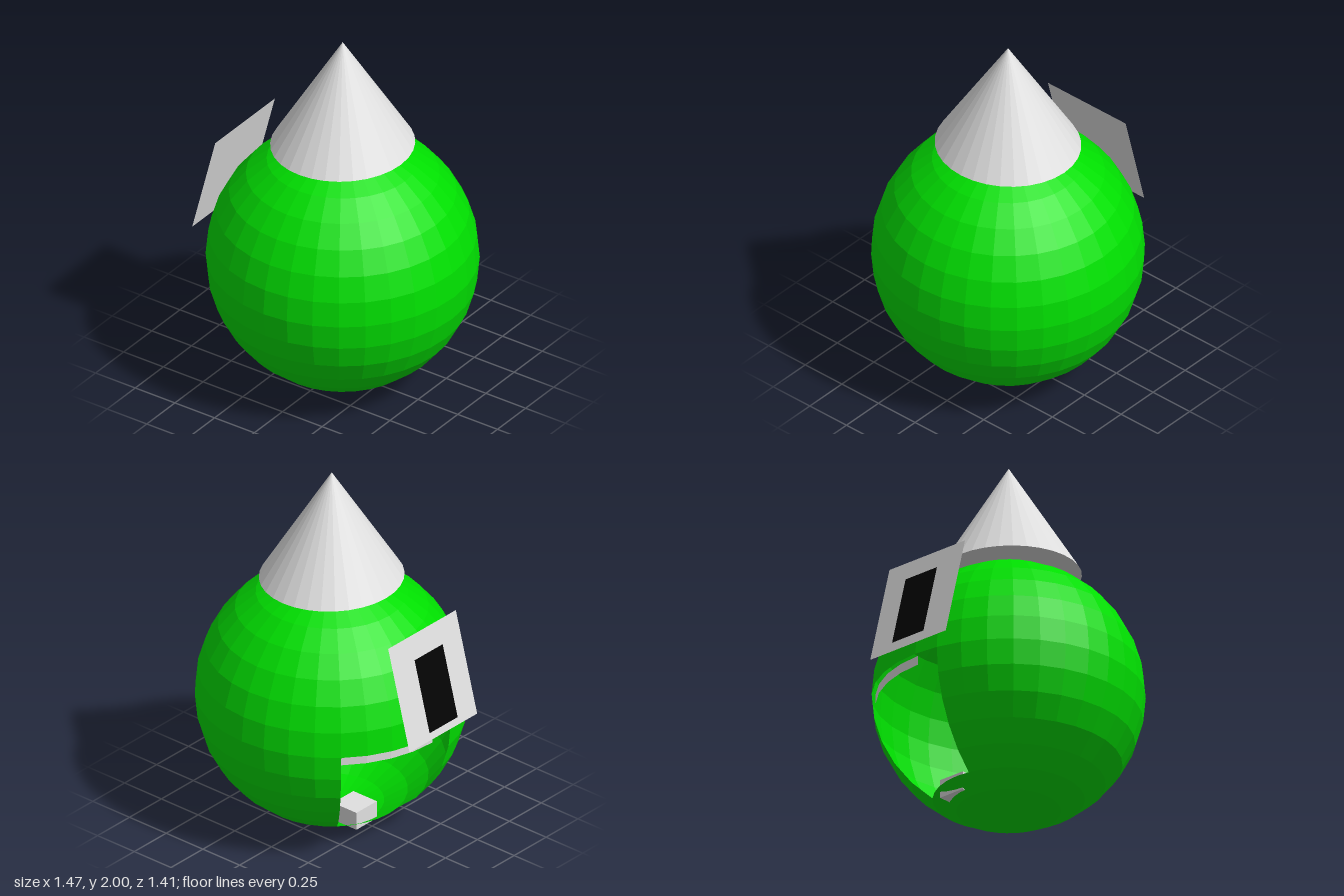
import * as THREE from 'three';

export function createModel() {
  const model = new THREE.Group();
  const material = (name, color) => {
    const m = new THREE.MeshStandardMaterial({ color, flatShading: true, side: THREE.DoubleSide });
    m.name = name;
    return m;
  };
  const green = material('green', 0x00e000);
  const white = material('white', 0xe0e0e0);
  const black = material('black', 0x020202);

  const add = (parent, name, geometry, mat, x = 0, y = 0, z = 0) => {
    const mesh = new THREE.Mesh(geometry, mat);
    mesh.name = name;
    mesh.position.set(x, y, z);
    parent.add(mesh);
    return mesh;
  };

  // Hollow faceted ball, with an opening in its lower right side
  const R = 0.705, CX = 0.025, CY = 0.71, step = Math.PI / 16;
  const ballPart = (name, segFrom, segs, ringFrom, rings) =>
    add(model, name, new THREE.SphereGeometry(R, segs, rings,
      segFrom * step, segs * step, ringFrom * step, rings * step), green, CX, CY);
  ballPart('upperShell', 0, 32, 0, 8);
  ballPart('openShell', 1, 27, 8, 5);
  ballPart('bottomShell', 0, 32, 13, 3);

  // Pointed cone on top
  const cone = add(model, 'noseCone', new THREE.ConeGeometry(0.385, 0.61, 32), white, CX, 1.695);
  cone.scale.x = 0.955;

  // Raised hatch above the opening, with a dark window
  const hatch = new THREE.Group();
  hatch.name = 'hatch';
  hatch.position.set(-0.6625, 1.02, 0);
  hatch.rotation.z = -0.254;
  model.add(hatch);
  const panel = (w, h) => new THREE.PlaneGeometry(w, h).rotateY(-Math.PI / 2);
  add(hatch, 'hatchPanel', panel(0.53, 0.578), white);
  add(hatch, 'hatchWindow', panel(0.22, 0.407), black, -0.014, -0.04);

  // Lip under the top edge of the opening, and a block on the floor inside
  add(model, 'openingLip', new THREE.CylinderGeometry(0.685, 0.685, 0.05, 4, 1, true,
    -Math.PI / 2, Math.PI / 4).scale(1, 1, -1), white, CX, 0.68).rotation.y = 0;
  add(model, 'innerBlock', new THREE.BoxGeometry(0.16, 0.1, 0.16), white, -0.22, 0.13, -0.1);

  return model;
}
